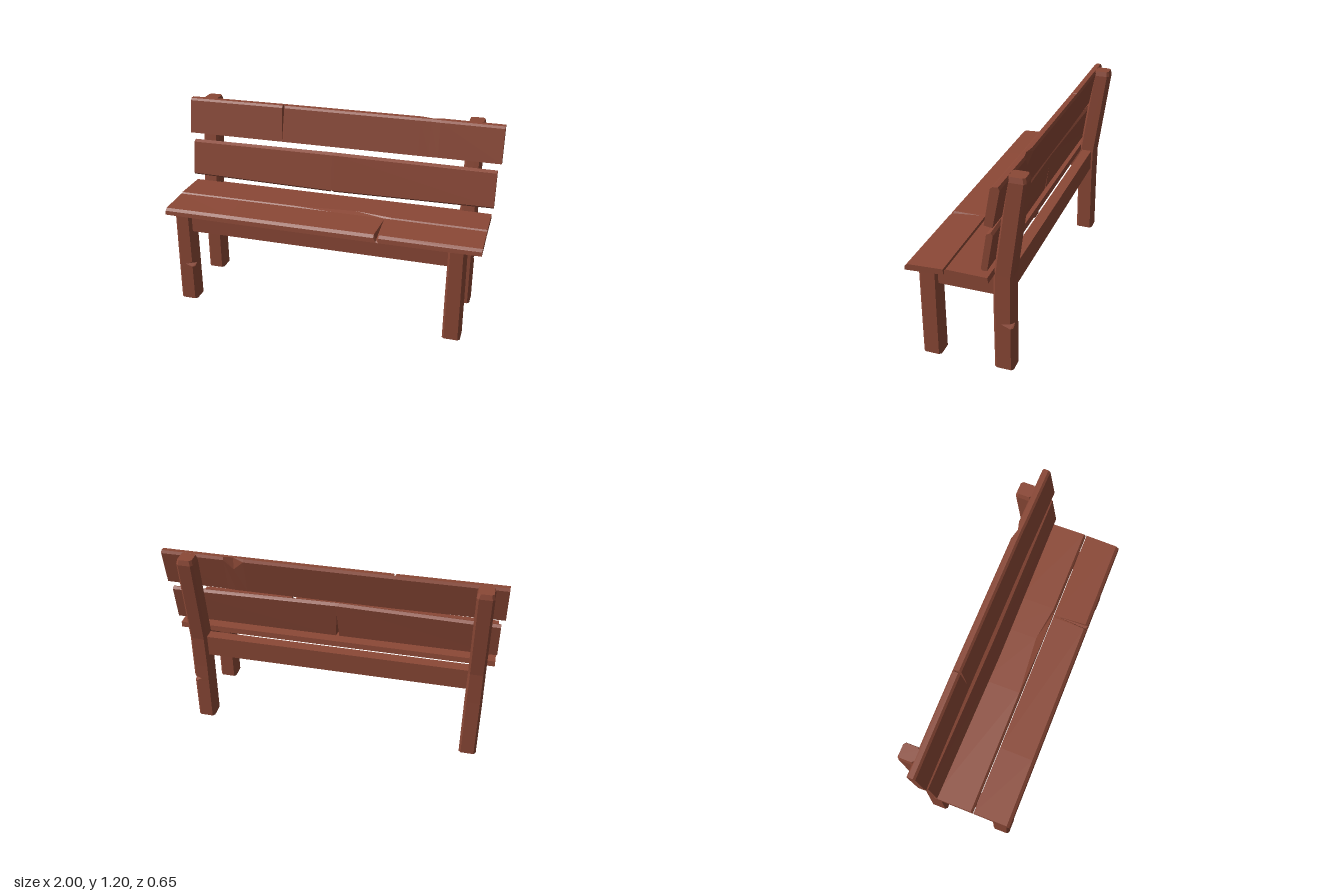
import * as THREE from 'three';

const wood = new THREE.MeshStandardMaterial({ color: 0x8b4836, flatShading: true });
wood.name = 'redBrownWood';

// Skin a row of rings (each counter-clockwise seen from the far end) and cap both ends
function loft(name, rings) {
  const pos = [];
  const tri = (a, b, c) => pos.push(...a, ...b, ...c);
  const n = rings[0].length;
  for (let i = 0; i < rings.length - 1; i++) {
    for (let j = 0; j < n; j++) {
      const k = (j + 1) % n, p = rings[i], q = rings[i + 1];
      tri(p[j], p[k], q[k]);
      tri(p[j], q[k], q[j]);
    }
  }
  const first = rings[0], last = rings[rings.length - 1];
  for (let j = 1; j < n - 1; j++) {
    tri(first[0], first[j + 1], first[j]);
    tri(last[0], last[j], last[j + 1]);
  }
  const g = new THREE.BufferGeometry();
  g.setAttribute('position', new THREE.Float32BufferAttribute(pos, 3));
  g.computeVertexNormals();
  const mesh = new THREE.Mesh(g, wood);
  mesh.name = name;
  return mesh;
}

// Upright post; station = [y, centre z, half depth, half width, notched corner, notch depth z, notch depth x]
function post(name, x, stations) {
  const corners = [[1, 1], [-1, 1], [-1, -1], [1, -1]];
  return loft(name, stations.map(([y, zc, hd, hw, notch, nz, nx]) => {
    const ring = [];
    corners.forEach(([sz, sx], i) => {
      const cz = i === notch ? nz : 0.013, cx = i === notch ? nx : 0.013;
      const a = [x + sx * (hw - cx), y, zc + sz * hd];
      const b = [x + sx * hw, y, zc + sz * (hd - cz)];
      ring.push(...(sz * sx > 0 ? [a, b] : [b, a]));
    });
    return ring;
  }));
}

// Plank along x; profile = [y, z] points; station = [x, height scale, z shift, {index: moved point}]
function plank(name, profile, stations) {
  const mid = profile.reduce((s, p) => s + p[0], 0) / profile.length;
  return loft(name, stations.map(([x, s, dz, moved = {}]) =>
    profile.map((p, i) => {
      const [y, z] = moved[i] || p;
      return [x, mid + (y - mid) * s, z + dz];
    })));
}

function rail(name, x0, x1, y0, y1, z0, z1) {
  const mesh = new THREE.Mesh(new THREE.BoxGeometry(x1 - x0, y1 - y0, z1 - z0), wood);
  mesh.position.set((x0 + x1) / 2, (y0 + y1) / 2, (z0 + z1) / 2);
  mesh.name = name;
  return mesh;
}

export function createModel() {
  const bench = new THREE.Group();
  bench.name = 'bench';

  // Legs: the right front and left back ones have a notched corner
  for (const [side, x] of [['left', 0.827], ['right', -0.878]]) {
    const front = [[0, 0.237, 0.055, 0.054], [0.3, 0.238, 0.055, 0.053], [0.615, 0.238, 0.056, 0.05]];
    const back = [[0, -0.2, 0.056, 0.053], [0.4, -0.197, 0.056, 0.053], [0.61, -0.2, 0.055, 0.051],
      [1.165, -0.274, 0.053, 0.05], [1.195, -0.274, 0.046, 0.043]];
    if (side === 'right') {
      front.splice(1, 1, [0.235, 0.238, 0.055, 0.053], [0.25, 0.238, 0.055, 0.053, 0, 0.04, 0.06],
        [0.267, 0.238, 0.055, 0.053]);
    } else {
      back.splice(1, 0, [0.28, -0.198, 0.056, 0.053], [0.3, -0.198, 0.056, 0.053, 1, 0.065, 0.045],
        [0.315, -0.198, 0.056, 0.053]);
    }
    bench.add(post(side + 'FrontLeg', x, front), post(side + 'BackPost', x, back));
    bench.add(rail(side + 'SideRail', x - 0.035, x + 0.035, 0.478, 0.615, -0.16, 0.2));
  }

  // Long rails under the seat
  bench.add(rail('frontRail', -0.85, 0.8, 0.48, 0.612, 0.205, 0.27));
  bench.add(rail('backRail', -0.85, 0.8, 0.482, 0.615, -0.23, -0.165));

  // Front seat plank with a crack from its front edge
  bench.add(plank('frontSeatPlank',
    [[0.613, 0.1], [0.65, 0.1], [0.64, 0.305], [0.625, 0.322], [0.598, 0.326]], [
      [-0.975, 0.9, 0], [-0.56, 1, 0], [0.345, 1, 0],
      [0.36, 1, 0, { 2: [0.648, 0.112], 3: [0.61, 0.31] }],
      [0.375, 1, 0], [0.97, 0.9, 0],
    ]));

  // Back seat plank
  bench.add(plank('backSeatPlank',
    [[0.614, -0.155], [0.648, -0.15], [0.652, 0.082], [0.64, 0.093], [0.615, 0.093]], [
      [-0.975, 0.95, 0], [-0.2, 1, 0], [0.17, 1, 0, { 2: [0.652, 0.05] }], [0.4, 1, 0], [0.97, 0.95, 0],
    ]));

  // Lower backrest plank, bowed, cracked on its rear face
  bench.add(plank('lowerBackPlank',
    [[0.693, -0.148], [0.912, -0.183], [0.927, -0.17], [0.915, -0.147], [0.702, -0.114], [0.692, -0.122]], [
      [-0.98, 0.97, -0.006], [-0.04, 1.05, 0.004],
      [-0.03, 1.05, 0.004, { 0: [0.85, -0.173], 5: [0.705, -0.13] }],
      [-0.02, 1.05, 0.004], [0.98, 0.97, -0.006],
    ]));

  // Upper backrest plank, cracked in front and chipped behind
  bench.add(plank('upperBackPlank',
    [[0.964, -0.202], [1.18, -0.242], [1.197, -0.234], [1.195, -0.205], [1.183, -0.192], [0.972, -0.156]], [
      [-1, 0.98, 0.006], [-0.378, 1, 0],
      [-0.371, 1, 0, { 3: [1.185, -0.218], 4: [1, -0.163] }],
      [-0.364, 1, 0], [0.5, 1, 0],
      [0.565, 1, 0, { 1: [1.12, -0.229], 2: [1.195, -0.222] }],
      [0.62, 0.99, 0.002], [1, 0.98, 0.006],
    ]));

  return bench;
}
